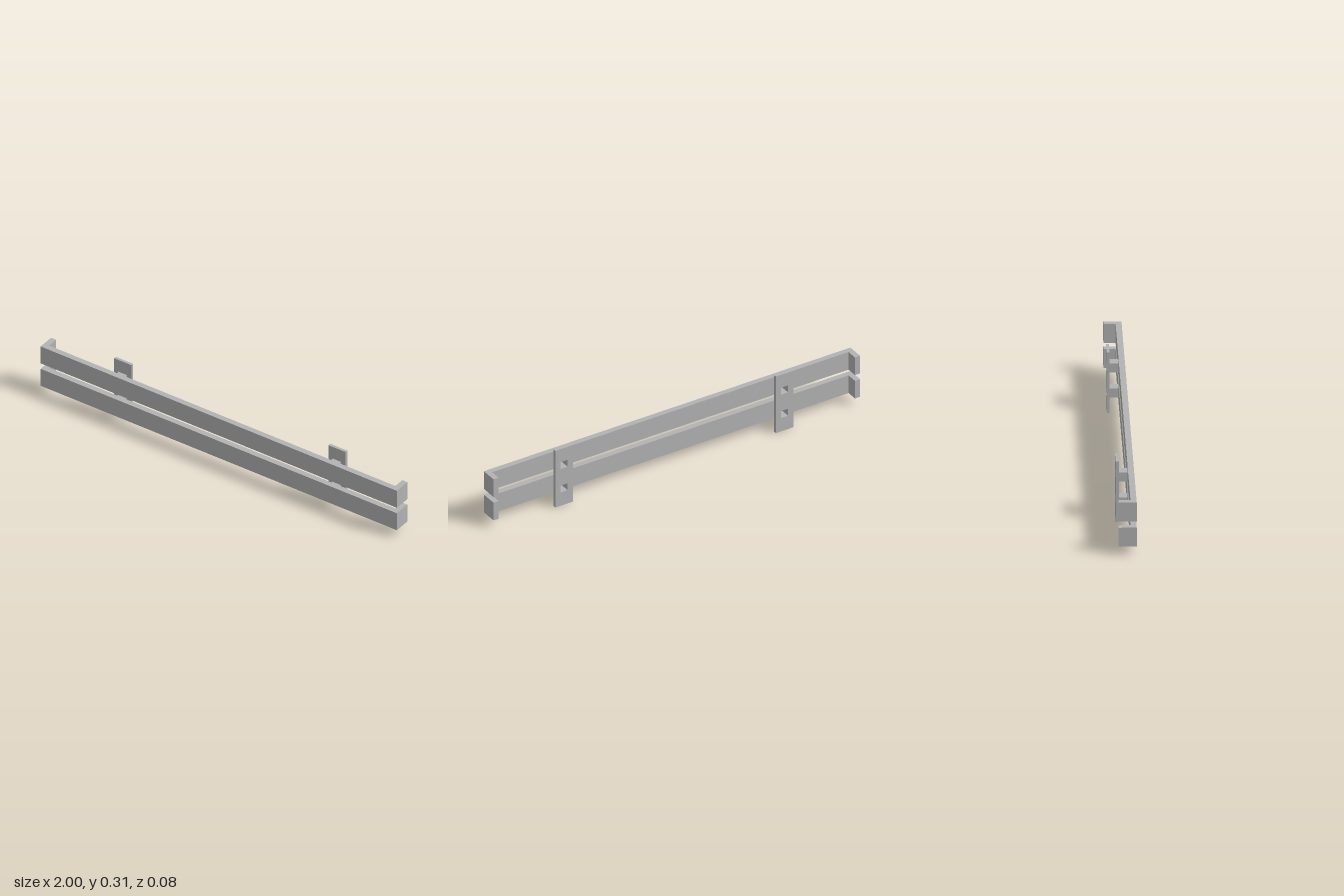
import * as THREE from 'three';

// Rectangle centred on (0, y), added to a shape or used as a hole
function rect(path, w, h, y = 0) {
  path.moveTo(-w / 2, y - h / 2);
  path.lineTo(w / 2, y - h / 2);
  path.lineTo(w / 2, y + h / 2);
  path.lineTo(-w / 2, y + h / 2);
  path.closePath();
  return path;
}

function extrude(shape, depth) {
  return new THREE.ExtrudeGeometry(shape, { depth, bevelEnabled: false });
}

export function createModel() {
  const model = new THREE.Group();
  model.name = 'doubleRail';
  const steel = new THREE.MeshStandardMaterial({ color: 0xb2b2b2 });
  steel.name = 'grey steel';

  const half = 0.042, wall = 0.028, railHeight = 0.096;
  const railCentres = [0.091, 0.218];
  const plateHeight = 0.307, plateDepth = 0.014;
  const tube = 0.046, hole = 0.038;

  const add = (parent, geometry, name, x, y, z) => {
    const mesh = new THREE.Mesh(geometry, steel);
    mesh.name = name;
    mesh.position.set(x, y, z);
    parent.add(mesh);
    return mesh;
  };

  // Rails: a shallow U in plan, with end returns pointing back
  const plan = new THREE.Shape([
    [-1, -half], [1, -half], [1, half], [1 - wall, half],
    [1 - wall, -half + wall], [-1 + wall, -half + wall], [-1 + wall, half], [-1, half],
  ].map(([x, y]) => new THREE.Vector2(x, y)));
  const railGeometry = extrude(plan, railHeight).rotateX(-Math.PI / 2);
  railCentres.forEach((y, i) =>
    add(model, railGeometry, i ? 'upperRail' : 'lowerRail', 0, y - railHeight / 2, 0));

  // Mounting plate with a square opening behind each rail
  const plate = rect(new THREE.Shape(), 0.096, plateHeight, plateHeight / 2);
  for (const y of railCentres) plate.holes.push(rect(new THREE.Path(), hole, hole, y));
  const plateGeometry = extrude(plate, plateDepth);

  // Hollow square spacer joining plate and rail
  const spacer = rect(new THREE.Shape(), tube, tube);
  spacer.holes.push(rect(new THREE.Path(), hole, hole));
  const spacerGeometry = extrude(spacer, 2 * half - wall - plateDepth);

  for (const [name, x] of [['rightBracket', -0.588], ['leftBracket', 0.615]]) {
    const bracket = new THREE.Group();
    bracket.name = name;
    bracket.position.x = x;
    add(bracket, plateGeometry, 'mountingPlate', 0, 0, -half);
    for (const y of railCentres) add(bracket, spacerGeometry, 'spacer', 0, y, -half + plateDepth);
    model.add(bracket);
  }
  return model;
}
